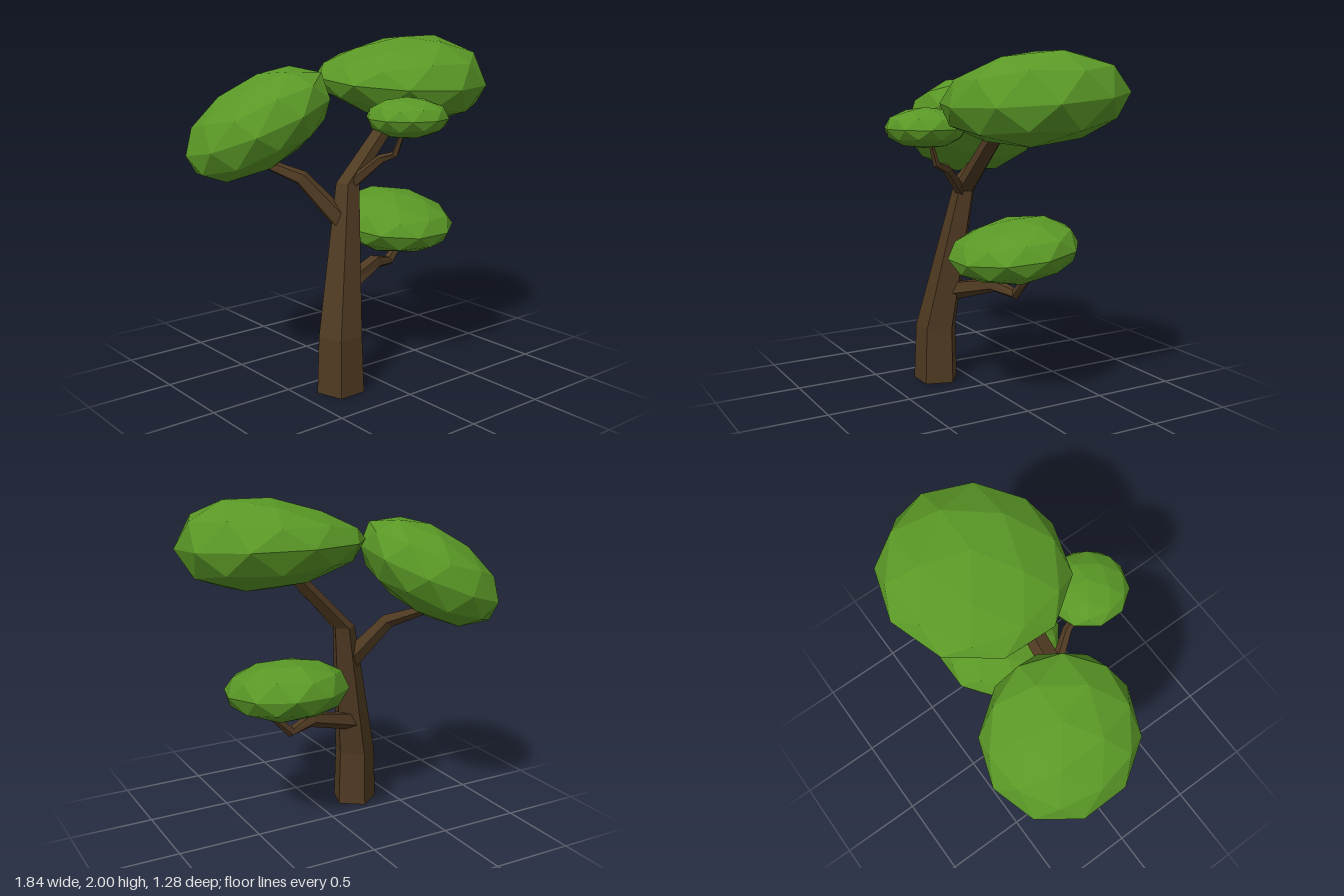
import * as THREE from 'three';

// Flat-faced five-sided limb: rings swept along points [x, y, z, radius], closed at the tip
const SIDES = 5;
function limb(points, level = false) {
  const centres = points.map(p => new THREE.Vector3(p[0], p[1], p[2]));
  const last = centres.length - 1;
  const rings = centres.map((c, i) => {
    const t = new THREE.Vector3(0, 1, 0);
    const u = new THREE.Vector3(0, 0, -1);
    if (!level) {
      t.subVectors(centres[Math.min(i + 1, last)], centres[Math.max(i - 1, 0)]).normalize();
      u.set(0.6, 0, -0.8);
      u.addScaledVector(t, -u.dot(t)).normalize();
    }
    const v = new THREE.Vector3().crossVectors(u, t);
    return Array.from({ length: SIDES }, (_, j) => {
      const a = (j / SIDES) * Math.PI * 2;
      return c.clone()
        .addScaledVector(u, Math.cos(a) * points[i][3])
        .addScaledVector(v, Math.sin(a) * points[i][3]);
    });
  });
  const tris = [];
  for (let j = 0; j < SIDES; j++) {
    const k = (j + 1) % SIDES;
    for (let i = 0; i < last; i++) {
      const a = rings[i][j], b = rings[i][k], c = rings[i + 1][j], d = rings[i + 1][k];
      tris.push(a, c, b, b, c, d);
    }
    tris.push(centres[last], rings[last][k], rings[last][j]);
  }
  const geometry = new THREE.BufferGeometry().setFromPoints(tris);
  geometry.computeVertexNormals();
  return geometry;
}

// Icosphere standing on a pole, split once, with flat faces
function icosphere() {
  const verts = [0, 1, 0];
  const faces = [];
  const h = 1 / Math.sqrt(5), r = 2 * h;
  for (const [y, offset] of [[h, 0], [-h, Math.PI / 5]]) {
    for (let k = 0; k < 5; k++) {
      const a = offset + (k * Math.PI * 2) / 5;
      verts.push(Math.cos(a) * r, y, -Math.sin(a) * r);
    }
  }
  verts.push(0, -1, 0);
  for (let k = 0; k < 5; k++) {
    const n = (k + 1) % 5;
    const u = 1 + k, un = 1 + n, l = 6 + k, ln = 6 + n;
    faces.push(0, u, un, u, l, un, l, ln, un, 11, ln, l);
  }
  return new THREE.PolyhedronGeometry(verts, faces, 1, 1);
}

// Leaf clump: flattened icosphere, leaned by tilt and made thinner at one end by taper,
// which acts less on the underside
function clump({ centre, size, tilt = [0, 0], taper = [0, 0], yaw = 0 }) {
  const geometry = icosphere().rotateY(yaw);
  const pos = geometry.attributes.position;
  for (let i = 0; i < pos.count; i++) {
    const ux = pos.getX(i), uy = pos.getY(i), uz = pos.getZ(i);
    const x = ux * size[0], z = uz * size[2];
    const thin = (taper[0] * ux + taper[1] * uz) * (uy > 0 ? 1 : 0.5);
    const y = uy * size[1] * (1 + thin) + tilt[0] * x + tilt[1] * z;
    pos.setXYZ(i, centre[0] + x, centre[1] + y, centre[2] + z);
  }
  geometry.computeVertexNormals();
  return geometry;
}

export function createModel() {
  const bark = new THREE.MeshStandardMaterial({ color: 0x4f3a22, side: THREE.DoubleSide });
  bark.name = 'bark brown';
  const leaf = new THREE.MeshStandardMaterial({ color: 0x5a9826 });
  leaf.name = 'leaf green';

  const tree = new THREE.Group();
  tree.name = 'tree';
  const add = (name, geometry, material) => {
    const mesh = new THREE.Mesh(geometry, material);
    mesh.name = name;
    tree.add(mesh);
  };

  // Leaning trunk, open at the foot, bending into the top branch
  add('trunk', limb([
    [-0.264, 0, 0.19, 0.141], [-0.262, 0.34, 0.187, 0.129],
    [-0.115, 1.19, 0.073, 0.07], [0.2, 1.51, 0.055, 0.06], [0.3, 1.61, 0.05, 0.052],
  ], true), bark);

  // Side branches
  add('rightUpperBranch', limb([
    [-0.17, 0.97, 0.09, 0.062], [-0.35, 1.225, -0.05, 0.046], [-0.49, 1.305, -0.21, 0.03],
  ]), bark);
  add('leftLowerBranch', limb([
    [-0.2, 0.565, 0.115, 0.06], [0.14, 0.66, 0.015, 0.045],
    [0.3, 0.63, -0.04, 0.032], [0.44, 0.77, -0.045, 0.022],
  ]), bark);
  add('frontTwig', limb([
    [-0.11, 1.17, 0.08, 0.038], [-0.005, 1.335, 0.24, 0.028],
    [0.025, 1.37, 0.325, 0.021], [0.045, 1.52, 0.375, 0.012],
  ]), bark);

  // Leaf clumps
  add('topLeaves', clump({
    centre: [0.42, 1.75, -0.075], size: [0.526, 0.248, 0.52], tilt: [0, -0.08], taper: [0.38, 0.15],
  }), leaf);
  add('rightLeaves', clump({
    centre: [-0.53, 1.535, -0.21], size: [0.412, 0.275, 0.432], tilt: [0.36, 0.17],
  }), leaf);
  add('frontLeaves', clump({
    centre: [0.045, 1.58, 0.4], size: [0.23, 0.114, 0.234],
  }), leaf);
  add('leftLowerLeaves', clump({
    centre: [0.315, 0.892, -0.015], size: [0.363, 0.177, 0.382],
    tilt: [0, -0.095], taper: [0, -0.15], yaw: Math.PI / 10,
  }), leaf);

  return tree;
}
